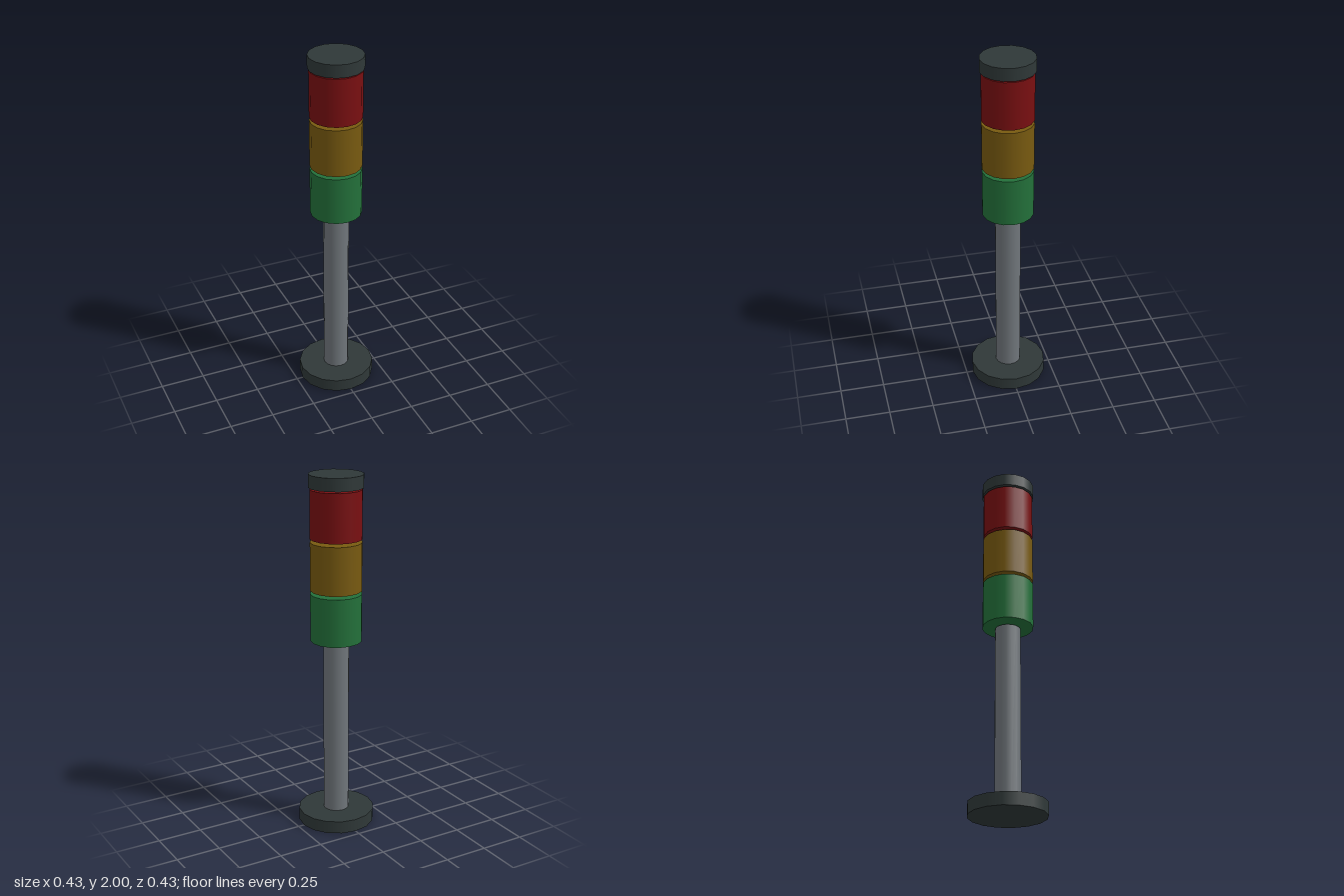
import * as THREE from 'three';

const UNIT = 1 / 14; // the whole tower is 28 units tall
const SIDES = 16;

function material(name, color) {
  const m = new THREE.MeshStandardMaterial({ color });
  m.name = name;
  return m;
}

export function createModel() {
  const dark = material('darkPlastic', 0x2f3838);
  const grey = material('greyMetal', 0x70767b);
  const green = material('greenLens', 0x23703a);
  const amber = material('amberLens', 0x785a10);
  const red = material('redLens', 0x790f11);

  const tower = new THREE.Group();
  tower.name = 'signalTower';

  // Upright cylinder between two heights, all in units
  function drum(name, radius, bottom, top, mat) {
    const geometry = new THREE.CylinderGeometry(radius * UNIT, radius * UNIT, (top - bottom) * UNIT, SIDES);
    const mesh = new THREE.Mesh(geometry, mat);
    mesh.name = name;
    mesh.position.y = ((bottom + top) / 2) * UNIT;
    tower.add(mesh);
  }

  // Foot and pole
  drum('base', 3, 0, 1, dark);
  drum('pole', 1, 0.5, 15, grey);

  // Stacked lamps with a small gap around each
  const lamps = [['greenLamp', green], ['amberLamp', amber], ['redLamp', red]];
  lamps.forEach(([name, mat], i) => {
    const bottom = 15.125 + i * 4;
    drum(name, 2, bottom, bottom + 3.75, mat);
  });

  // Lid
  drum('cap', 2.1, 27, 28, dark);

  return tower;
}
